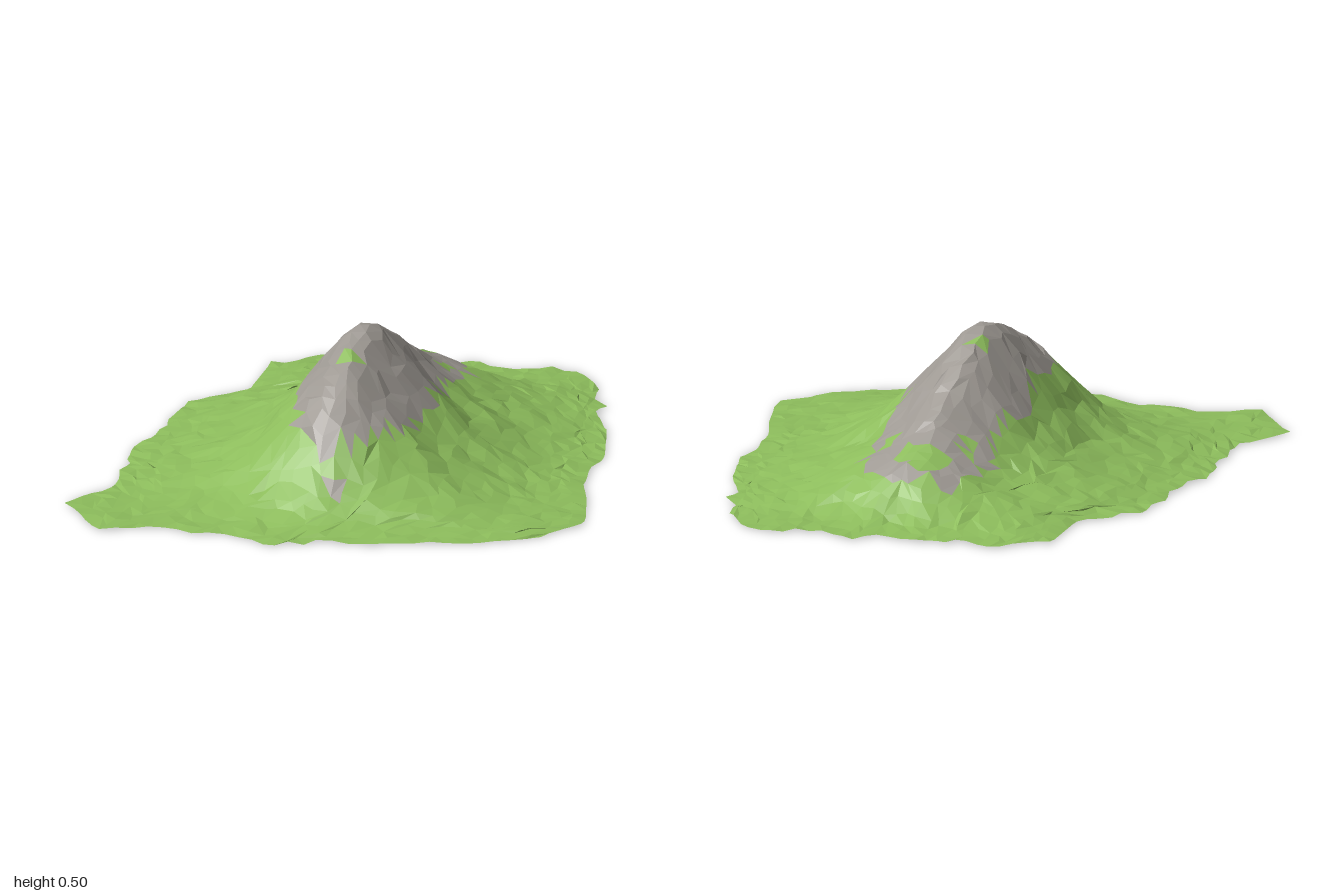
import * as THREE from 'three';

// Outline of the ground patch as four ragged sides, [x, z]
const north = [[-0.62, -0.75], [-0.56, -0.76], [-0.46, -0.89], [-0.31, -0.85], [-0.28, -0.91], [-0.23, -0.87], [-0.18, -0.91],
  [-0.02, -0.9], [0.04, -0.98], [0.15, -0.93], [0.27, -0.95], [0.31, -1], [0.39, -0.98], [0.44, -0.98], [0.55, -0.84], [0.56, -0.75], [0.63, -0.68]];
const south = [[-0.89, 0.79], [-0.83, 0.84], [-0.78, 0.91], [-0.7, 1], [-0.51, 0.9], [-0.38, 0.93], [-0.28, 0.9], [-0.17, 0.93],
  [-0.08, 0.98], [-0.06, 0.93], [0.04, 0.92], [0.05, 0.88], [0.24, 0.86], [0.4, 0.79], [0.54, 0.76], [0.67, 0.69], [0.79, 0.6]];
const west = [[-0.62, -0.75], [-0.61, -0.47], [-0.72, -0.37], [-0.72, -0.33], [-0.78, -0.31], [-0.78, -0.19], [-0.8, -0.1], [-0.77, -0.05],
  [-0.79, 0], [-0.79, 0.1], [-0.83, 0.16], [-0.81, 0.33], [-0.78, 0.35], [-0.81, 0.44], [-0.78, 0.48], [-0.78, 0.6], [-0.84, 0.68], [-0.89, 0.79]];
const east = [[0.63, -0.68], [0.6, -0.63], [0.7, -0.45], [0.77, -0.2], [0.75, -0.1], [0.77, 0], [0.78, 0.08],
  [0.83, 0.2], [0.89, 0.4], [0.89, 0.46], [0.83, 0.52], [0.79, 0.6]];

// Crest height along z, and slope height across x
const crest = [[-0.95, 0], [-0.8, 0.035], [-0.7, 0.1], [-0.6, 0.165], [-0.5, 0.205], [-0.4, 0.255], [-0.3, 0.315], [-0.2, 0.375], [-0.1, 0.435],
  [0, 0.485], [0.06, 0.495], [0.1, 0.49], [0.2, 0.46], [0.3, 0.42], [0.4, 0.37], [0.5, 0.285], [0.6, 0.145], [0.7, 0.065], [0.8, 0.025], [0.95, 0]];
const slope = [[-0.85, 0], [-0.7, 0.015], [-0.6, 0.035], [-0.5, 0.065], [-0.4, 0.11], [-0.3, 0.185], [-0.2, 0.32], [-0.15, 0.385],
  [-0.1, 0.455], [-0.05, 0.5], [0, 0.5], [0.05, 0.46], [0.1, 0.39], [0.2, 0.28], [0.3, 0.18], [0.4, 0.105], [0.5, 0.053], [0.6, 0.017], [0.85, 0]];
// Left and right limits of the bare rock along z
const rockLeft = [[-0.67, 0.02], [-0.62, -0.2], [-0.5, -0.22], [-0.4, -0.25], [-0.25, -0.2], [-0.08, -0.26], [0.1, -0.2], [0.3, -0.2], [0.45, -0.15], [0.58, -0.03]];
const rockRight = [[-0.67, 0.02], [-0.6, 0.13], [-0.5, 0.18], [-0.3, 0.19], [-0.1, 0.2], [0.1, 0.23], [0.25, 0.22], [0.4, 0.17], [0.5, 0.08], [0.58, -0.03]];
// Grass pockets within the rock: [x, z, radius x, radius z]
const pockets = [[-0.04, -0.53, 0.09, 0.07], [-0.02, 0.24, 0.03, 0.05], [0.12, -0.43, 0.03, 0.04], [-0.17, -0.4, 0.03, 0.03], [-0.06, -0.03, 0.03, 0.03]];

function lookup(table, t) {
  if (t <= table[0][0]) return table[0][1];
  for (let i = 1; i < table.length; i++) {
    const [a, va] = table[i - 1], [b, vb] = table[i];
    if (t <= b) return va + (vb - va) * (t - a) / (b - a);
  }
  return table[table.length - 1][1];
}

// Repeatable random value per grid cell, and smooth noise built on it
function hash(i, j, k = 0) {
  const s = Math.sin(i * 127.1 + j * 311.7 + k * 74.7) * 43758.5453;
  return s - Math.floor(s);
}
function noise(x, y) {
  const i = Math.floor(x), j = Math.floor(y);
  const u = THREE.MathUtils.smoothstep(x - i, 0, 1), v = THREE.MathUtils.smoothstep(y - j, 0, 1);
  const mix = THREE.MathUtils.lerp;
  return mix(mix(hash(i, j), hash(i + 1, j), u), mix(hash(i, j + 1), hash(i + 1, j + 1), u), v) - 0.5;
}

function height(x, z) {
  const h = lookup(crest, z);
  const s = lookup(slope, x) / 0.5;
  const body = h * Math.pow(s, 0.75 + 0.5 * h);
  // Gullies run down the flanks, strongest half way up
  const flank = 4 * s * (1 - s) * h / 0.5;
  return body + flank * (noise(x * 4 + 9, z * 11 + 3) * 0.055 + noise(x * 15, z * 17) * 0.02);
}

function isRock(x, z) {
  if (Math.hypot(x - 0.05, z - 0.64) < 0.033) return true;
  if (z < -0.67 || z > 0.58) return false;
  if (x < lookup(rockLeft, z) || x > lookup(rockRight, z)) return false;
  return !pockets.some(([px, pz, rx, rz]) => Math.hypot((x - px) / rx, (z - pz) / rz) < 1);
}

// Ground grid stretched between the four sides
function makeGrid(nx, nz) {
  const side = (points) => {
    const path = new THREE.CurvePath();
    for (let i = 1; i < points.length; i++) {
      path.add(new THREE.LineCurve(new THREE.Vector2(...points[i - 1]), new THREE.Vector2(...points[i])));
    }
    return path;
  };
  const sample = (points, n) => Array.from({ length: n + 1 }, (_, i) => side(points).getPointAt(i / n));
  const N = sample(north, nx), S = sample(south, nx), W = sample(west, nz), E = sample(east, nz);
  const grid = [];
  for (let j = 0; j <= nz; j++) {
    const row = [];
    for (let i = 0; i <= nx; i++) {
      const u = i / nx, v = j / nz;
      const blend = (a) => (1 - v) * N[i][a] + v * S[i][a] + (1 - u) * W[j][a] + u * E[j][a]
        - (1 - u) * (1 - v) * N[0][a] - u * (1 - v) * N[nx][a] - (1 - u) * v * S[0][a] - u * v * S[nx][a];
      let x = blend('x'), z = blend('y');
      const edge = Math.min(u, 1 - u, v, 1 - v);
      if (edge > 0) {
        x += (hash(i, j, 1) - 0.5) * 0.03;
        z += (hash(i, j, 2) - 0.5) * 0.03;
      }
      const y = 0.004 + 0.008 * hash(i, j, 3) + height(x, z) * Math.min(1, edge * 8);
      row.push(new THREE.Vector3(x, edge > 0 ? y : 0.01 * hash(i, j, 4), z));
    }
    grid.push(row);
  }
  return grid;
}

export function createModel() {
  const nx = 34, nz = 38;
  const grid = makeGrid(nx, nz);
  const rock = [], grass = [];
  const addFace = (...corners) => {
    const x = (corners[0].x + corners[1].x + corners[2].x) / 3;
    const z = (corners[0].z + corners[1].z + corners[2].z) / 3;
    const target = isRock(x, z) ? rock : grass;
    corners.forEach((p) => target.push(p.x, p.y, p.z));
  };
  for (let j = 0; j < nz; j++) {
    for (let i = 0; i < nx; i++) {
      const a = grid[j][i], b = grid[j][i + 1], c = grid[j + 1][i], d = grid[j + 1][i + 1];
      if (hash(i, j, 5) > 0.5) {
        addFace(a, c, b);
        addFace(b, c, d);
      } else {
        addFace(a, c, d);
        addFace(a, d, b);
      }
    }
  }

  const group = new THREE.Group();
  group.name = 'mountain';
  const addPart = (name, materialName, color, positions) => {
    const geometry = new THREE.BufferGeometry();
    geometry.setAttribute('position', new THREE.Float32BufferAttribute(positions, 3));
    geometry.computeVertexNormals();
    const material = new THREE.MeshStandardMaterial({ color, flatShading: true, side: THREE.DoubleSide });
    material.name = materialName;
    const mesh = new THREE.Mesh(geometry, material);
    mesh.name = name;
    group.add(mesh);
  };
  addPart('grassySlopes', 'grass green', 0x8dbd5c, grass);
  addPart('rockyRidge', 'stone grey', 0x9f9a94, rock);
  return group;
}
